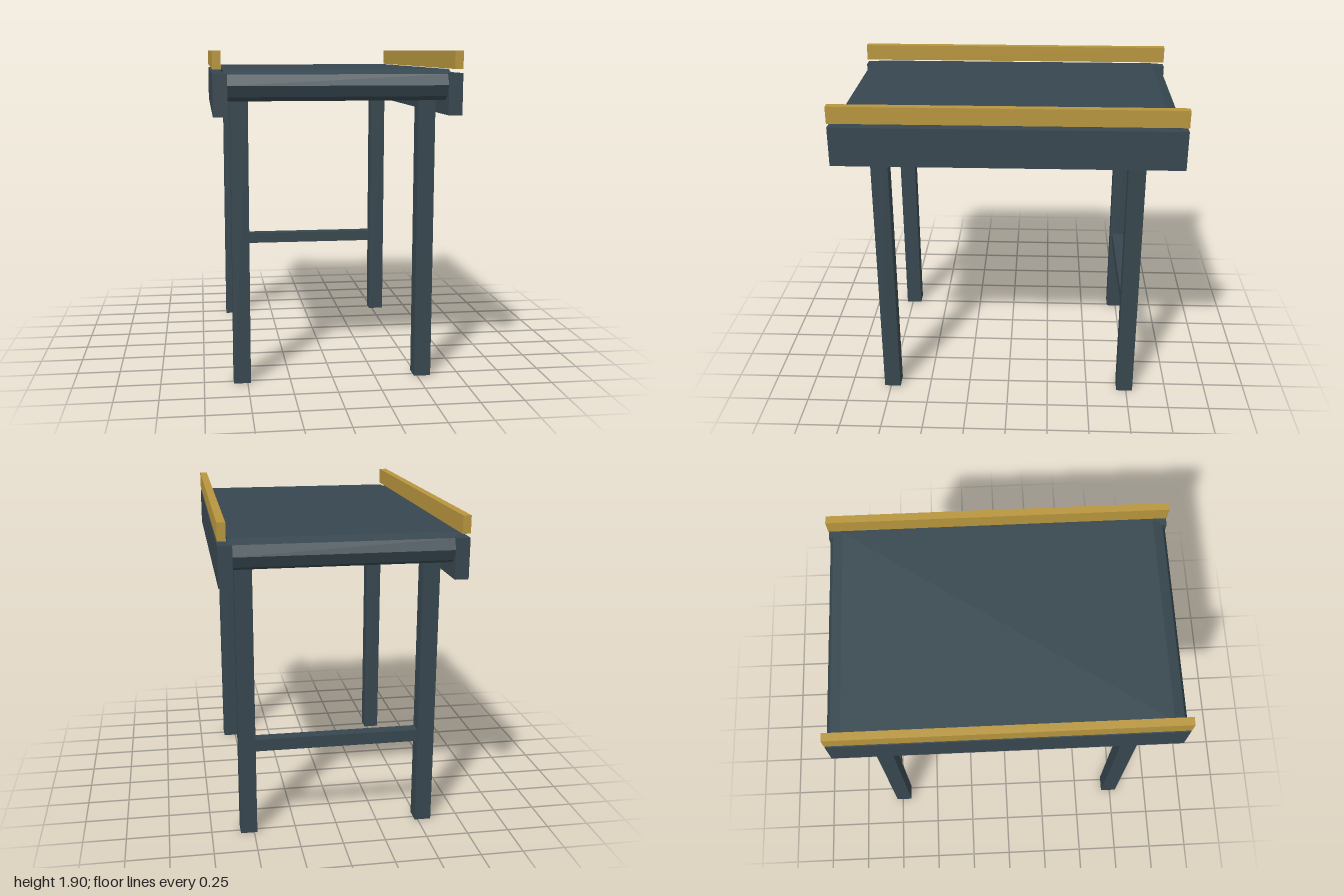
import * as THREE from 'three';

export function createModel() {
  const model = new THREE.Group();
  model.name = 'conveyorTable';

  const slate = new THREE.MeshStandardMaterial({ color: 0x37474f });
  slate.name = 'slate';
  const ochre = new THREE.MeshStandardMaterial({ color: 0xb8963e });
  ochre.name = 'ochre';

  // Box given by its lower and upper corners
  const box = (name, material, [x0, y0, z0], [x1, y1, z1]) => {
    const mesh = new THREE.Mesh(new THREE.BoxGeometry(x1 - x0, y1 - y0, z1 - z0), material);
    mesh.position.set((x0 + x1) / 2, (y0 + y1) / 2, (z0 + z1) / 2);
    mesh.name = name;
    model.add(mesh);
  };

  // Belt: flat bed wrapped around an octagonal roller at each end
  const radius = 0.085, rollerZ = 0.915, beltY = 1.717, beltWidth = 1.24;
  const profile = new THREE.Shape();
  for (const end of [1, -1]) {
    for (let i = 0; i <= 4; i++) {
      const a = -Math.PI / 2 + (i * Math.PI) / 4;
      const x = end * (rollerZ + radius * Math.cos(a));
      const y = end * radius * Math.sin(a);
      if (end === 1 && i === 0) profile.moveTo(x, y);
      else profile.lineTo(x, y);
    }
  }
  profile.closePath();
  const beltGeometry = new THREE.ExtrudeGeometry(profile, { depth: beltWidth, bevelEnabled: false });
  beltGeometry.translate(0, 0, -beltWidth / 2).rotateY(Math.PI / 2);
  const belt = new THREE.Mesh(beltGeometry, slate);
  belt.position.y = beltY;
  belt.name = 'belt';
  model.add(belt);

  // Side frames, guide rails and legs, mirrored left and right
  for (const [side, s] of [['left', 1], ['right', -1]]) {
    const span = (a, b) => (s > 0 ? [a, b] : [-b, -a]);
    const [f0, f1] = span(0.6, 0.678);
    box(side + 'SideFrame', slate, [f0, 1.553, -1], [f1, 1.782, 1]);
    const [g0, g1] = span(0.632, 0.678);
    box(side + 'GuideRail', ochre, [g0, 1.804, -1], [g1, 1.903, 1]);
    const [l0, l1] = span(0.482, 0.58);
    box(side + 'FrontLeg', slate, [l0, 0, 0.69], [l1, 1.66, 0.79]);
    box(side + 'BackLeg', slate, [l0, 0, -0.79], [l1, 1.66, -0.69]);
  }

  // Crossbar between the back legs
  box('backCrossbar', slate, [-0.485, 0.516, -0.776], [0.485, 0.588, -0.704]);

  return model;
}
